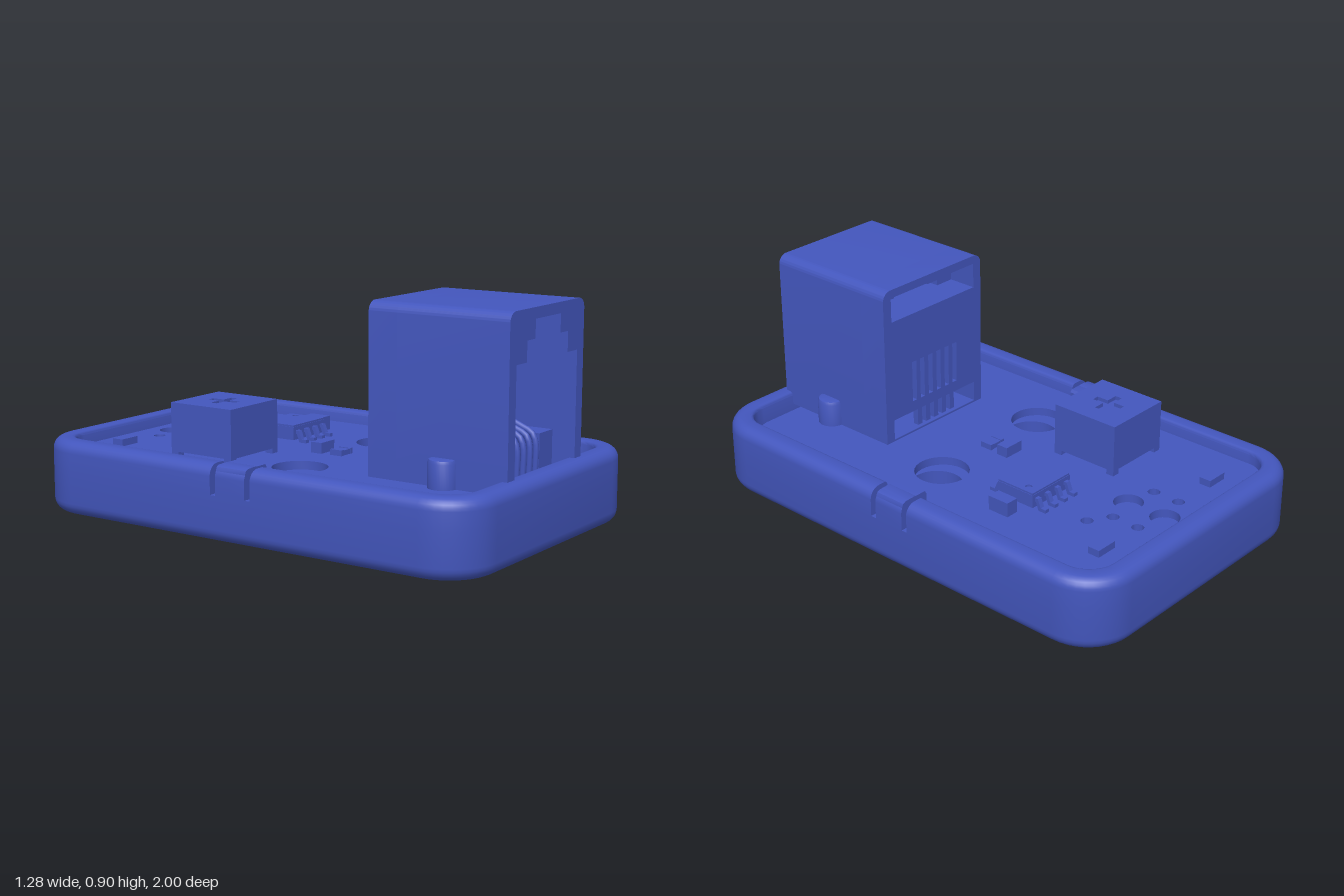
import * as THREE from 'three';
import { toCreasedNormals } from 'three/addons/utils/BufferGeometryUtils.js';

const HX = 0.64, HZ = 1, R = 0.2; // case half width, half length, corner radius
const FLOOR = 0.17, SLOT = 0.18, BOARD = 0.242; // heights of floor, slot bottoms and board top

export function createModel() {
  const model = new THREE.Group();
  const mat = new THREE.MeshStandardMaterial({ color: 0x4356bd });

  const add = (name, geo, parent = model) => {
    const m = new THREE.Mesh(geo, mat);
    m.name = name;
    parent.add(m);
    return m;
  };
  const group = (name) => {
    const g = new THREE.Group();
    g.name = name;
    model.add(g);
    return g;
  };
  // box given by its limits on each axis
  const box = (name, x0, x1, y0, y1, z0, z1, parent) =>
    add(name, new THREE.BoxGeometry(x1 - x0, y1 - y0, z1 - z0)
      .translate((x0 + x1) / 2, (y0 + y1) / 2, (z0 + z1) / 2), parent);
  const polygon = (pts) => new THREE.Shape(pts.map(([x, y]) => new THREE.Vector2(x, y)));
  const rect = (x0, x1, y0, y1) => polygon([[x0, y0], [x1, y0], [x1, y1], [x0, y1]]);
  const circle = (x, z, r) => new THREE.Path().absarc(x, -z, r, 0, Math.PI * 2);
  const roundRect = (x0, x1, y0, y1, r) => {
    const s = new THREE.Shape();
    s.absarc(x1 - r, y1 - r, r, 0, Math.PI / 2);
    s.absarc(x0 + r, y1 - r, r, Math.PI / 2, Math.PI);
    s.absarc(x0 + r, y0 + r, r, Math.PI, Math.PI * 1.5);
    s.absarc(x1 - r, y0 + r, r, Math.PI * 1.5, Math.PI * 2);
    s.closePath();
    return s;
  };
  const extrude = (shape, depth, holes) => {
    shape.holes.push(...holes);
    const g = new THREE.ExtrudeGeometry(shape, { depth, bevelEnabled: false, curveSegments: 16 });
    return toCreasedNormals(g, 0.5);
  };
  // horizontal plate: shape y is -z
  const plate = (shape, y0, y1, holes = []) =>
    extrude(shape, y1 - y0, holes).rotateX(-Math.PI / 2).translate(0, y0, 0);
  // vertical plate facing z
  const panel = (shape, z0, z1, holes = []) => extrude(shape, z1 - z0, holes).translate(0, 0, z0);

  // case wall: rounded profile swept round the outline, cut down at the clip slots
  const profile = []; // [inset, height]
  const arc = (cd, cy, r, a0, a1, n) => {
    for (let i = 0; i <= n; i++) {
      const a = a0 + (a1 - a0) * i / n;
      profile.push([cd - r * Math.cos(a), cy + r * Math.sin(a)]);
    }
  };
  arc(0.05, 0.05, 0.05, -Math.PI / 2, 0, 6);
  profile.push([0, SLOT]);
  arc(0.045, 0.25, 0.045, 0, Math.PI / 2, 6);
  arc(0.075, 0.28, 0.015, Math.PI / 2, Math.PI, 3);
  profile.push([0.09, SLOT], [0.09, FLOOR - 0.02]);

  const cuts = [[-0.1, 0], [-0.1, 1], [-0.075, 1], [-0.075, 0],
    [0.06, 0], [0.06, 1], [0.085, 1], [0.085, 0]];
  const ring = (d, y) => {
    const pts = [];
    // corners in order: back right, back left, front left, front right
    for (let k = 0; k < 4; k++) {
      const sx = k === 0 || k === 3 ? 1 : -1, sz = k < 2 ? -1 : 1;
      for (let i = 0; i <= 10; i++) {
        const a = -(k * 90 + i * 9) * Math.PI / 180;
        pts.push([sx * (HX - R) + (R - d) * Math.cos(a), y, sz * (HZ - R) + (R - d) * Math.sin(a)]);
      }
      if (k % 2) {
        for (const [z, cut] of k === 1 ? cuts : [...cuts].reverse())
          pts.push([sx * (HX - d), cut ? Math.min(y, SLOT) : y, z]);
      }
    }
    return pts;
  };
  const rings = profile.map(([d, y]) => ring(d, y));
  const n = rings[0].length, index = [];
  for (let i = 0; i < rings.length - 1; i++) {
    for (let j = 0; j < n; j++) {
      const a = i * n + j, b = i * n + (j + 1) % n;
      index.push(a, b, a + n, b, b + n, a + n);
    }
  }
  const wall = new THREE.BufferGeometry();
  wall.setAttribute('position', new THREE.Float32BufferAttribute(rings.flat(2), 3));
  wall.setIndex(index);
  add('caseWall', toCreasedNormals(wall, 0.6));

  // case floor and circuit board with screw and pin holes
  add('caseFloor', plate(roundRect(-0.59, 0.59, -0.95, 0.95, 0.15), 0, FLOOR,
    [-0.285, 0.285].map((x) => circle(x, 0.083, 0.105))));
  const holes = [-0.285, 0.285].map((x) => circle(x, 0.052, 0.108));
  for (const z of [-0.81, -0.64]) holes.push(circle(0, z, 0.058));
  for (const [x, z] of [[-0.125, -0.78], [0.125, -0.78], [-0.125, -0.665], [0.125, -0.665], [0.21, -0.61]])
    holes.push(circle(x, z, 0.024));
  add('circuitBoard', plate(roundRect(-0.548, 0.548, -0.865, 0.915, 0.09), BOARD - 0.034, BOARD, holes));

  // snap clips holding the board, and the locating posts
  for (const s of [-1, 1]) {
    const hook = polygon([[0.56, 0.2], [0.55, 0.245], [0.505, 0.245], [0.505, 0.283], [0.513, 0.294],
      [0.615, 0.294], [0.628, 0.288], [0.634, 0.275], [0.634, 0.2]].map(([x, y]) => [s * x, y]));
    add('snapClip', panel(hook, -0.075, 0.06));
    const post = [[0, BOARD], [0.057, BOARD], [0.057, 0.335], [0.052, 0.347], [0.042, 0.35], [0, 0.35]];
    add('post', toCreasedNormals(new THREE.LatheGeometry(post.map((p) => new THREE.Vector2(...p)), 32), 0.6)
      .translate(s * 0.272, 0, 0.677));
  }

  // socket: shell with a stepped opening
  const socket = group('socket');
  const outline = () => {
    const s = new THREE.Shape().moveTo(-0.277, BOARD).lineTo(0.277, BOARD).lineTo(0.277, 0.856);
    s.absarc(0.237, 0.856, 0.04, 0, Math.PI / 2);
    s.absarc(-0.237, 0.856, 0.04, Math.PI / 2, Math.PI);
    s.closePath();
    return s;
  };
  const half = [[0.228, 0.255], [0.228, 0.705], [0.153, 0.705], [0.153, 0.783], [0.094, 0.783], [0.094, 0.854]];
  const opening = [...half, ...half.map(([x, y]) => [-x, y]).reverse()];
  add('socketShell', panel(outline(), 0.48, 0.945, [polygon(opening)]), socket);
  // back wall with latch window, contact slits and lower comb
  const xs = [-0.118, -0.071, -0.024, 0.023, 0.07, 0.115];
  const slits = xs.map((x) => rect(x - 0.012, x + 0.012, 0.38, 0.553));
  add('socketBack', panel(outline(), 0.357, 0.48,
    [rect(-0.235, 0.235, 0.76, 0.862), rect(-0.235, 0.235, 0.25, 0.335), ...slits]), socket);
  add('plugStop', panel(rect(-0.228, 0.228, 0.255, 0.76), 0.48, 0.56,
    [rect(-0.15, 0.15, 0.285, 0.573)]), socket);
  for (const s of [-1, 1])
    box('plugGuide', s * 0.192 - 0.037, s * 0.192 + 0.037, 0.66, 0.705, 0.56, 0.7, socket);
  // sill of ribs with a slot for each contact
  const edges = [-0.228, ...xs.flatMap((x) => [x - 0.013, x + 0.013]), 0.228];
  for (let i = 0; i < edges.length; i += 2)
    box('sillRib', edges[i], edges[i + 1], BOARD, 0.395, 0.5, 0.85, socket);
  for (let i = 0; i < 5; i++) {
    const p = [[0.255, 0.865], [0.37, 0.865], [0.405, 0.85], [0.425, 0.81], [0.515, 0.56], [0.52, 0.48], [0.45, 0.4]];
    const curve = new THREE.CatmullRomCurve3(p.map(([y, z]) => new THREE.Vector3(xs[i], y, z)));
    add('contact', new THREE.TubeGeometry(curve, 30, 0.012, 8), socket);
    box('rearPin', xs[i] - 0.012, xs[i] + 0.012, BOARD, 0.34, 0.375, 0.4, socket);
  }

  // rotary selector with cross slot in its dial
  const rotary = group('rotarySwitch');
  const X = -0.263, Z = -0.328, H = 0.147;
  box('rotaryBody', X - H, X + H, 0.262, 0.44, Z - H, Z + H, rotary);
  const a = 0.015, b = 0.065;
  const cross = polygon([[a, a], [b, a], [b, -a], [a, -a], [a, -b], [-a, -b], [-a, -a], [-b, -a],
    [-b, a], [-a, a], [-a, b], [a, b]].map(([x, y]) => [x + X, y - Z]));
  add('rotaryTop', plate(rect(X - H, X + H, -Z - H, -Z + H), 0.44, 0.455, [cross]), rotary);
  for (const sx of [-1, 1]) for (const sz of [-1, 1])
    box('foot', X + sx * 0.13 - 0.017, X + sx * 0.13 + 0.017, BOARD, 0.262,
      Z + sz * 0.13 - 0.017, Z + sz * 0.13 + 0.017, rotary);

  // eight-pin chip with bent legs and a pin-one dimple
  const chip = group('chip');
  add('chipBody', plate(rect(0.071, 0.287, 0.24, 0.412), 0.252, 0.305), chip);
  add('chipTop', plate(rect(0.073, 0.285, 0.242, 0.41), 0.305, 0.312, [circle(0.252, -0.363, 0.013)]), chip);
  for (const x of [0.097, 0.152, 0.208, 0.264]) for (const s of [-1, 1]) {
    const leg = polygon([[0.08, 0.29], [0.1, 0.29], [0.114, 0.256], [0.137, 0.256], [0.137, BOARD],
      [0.104, BOARD], [0.091, 0.275], [0.08, 0.275]]);
    add('chipLeg', panel(leg, -0.01, 0.01).rotateY(-s * Math.PI / 2).translate(x, 0, -0.326), chip);
  }

  // small surface parts
  box('capacitor', 0.333, 0.387, BOARD, 0.3, -0.375, -0.283);
  box('capacitor', -0.044, 0.044, BOARD, 0.285, -0.07, -0.02);
  box('resistor', -0.022, 0.022, BOARD, 0.262, 0.02, 0.07);
  for (const s of [-1, 1]) {
    box('resistorEnd', s * 0.03 - 0.008, s * 0.03 + 0.008, BOARD, 0.265, 0.018, 0.072);
    box('lamp', s * 0.338 - 0.046, s * 0.338 + 0.046, BOARD, 0.27, -0.805, -0.755);
  }
  return model;
}
